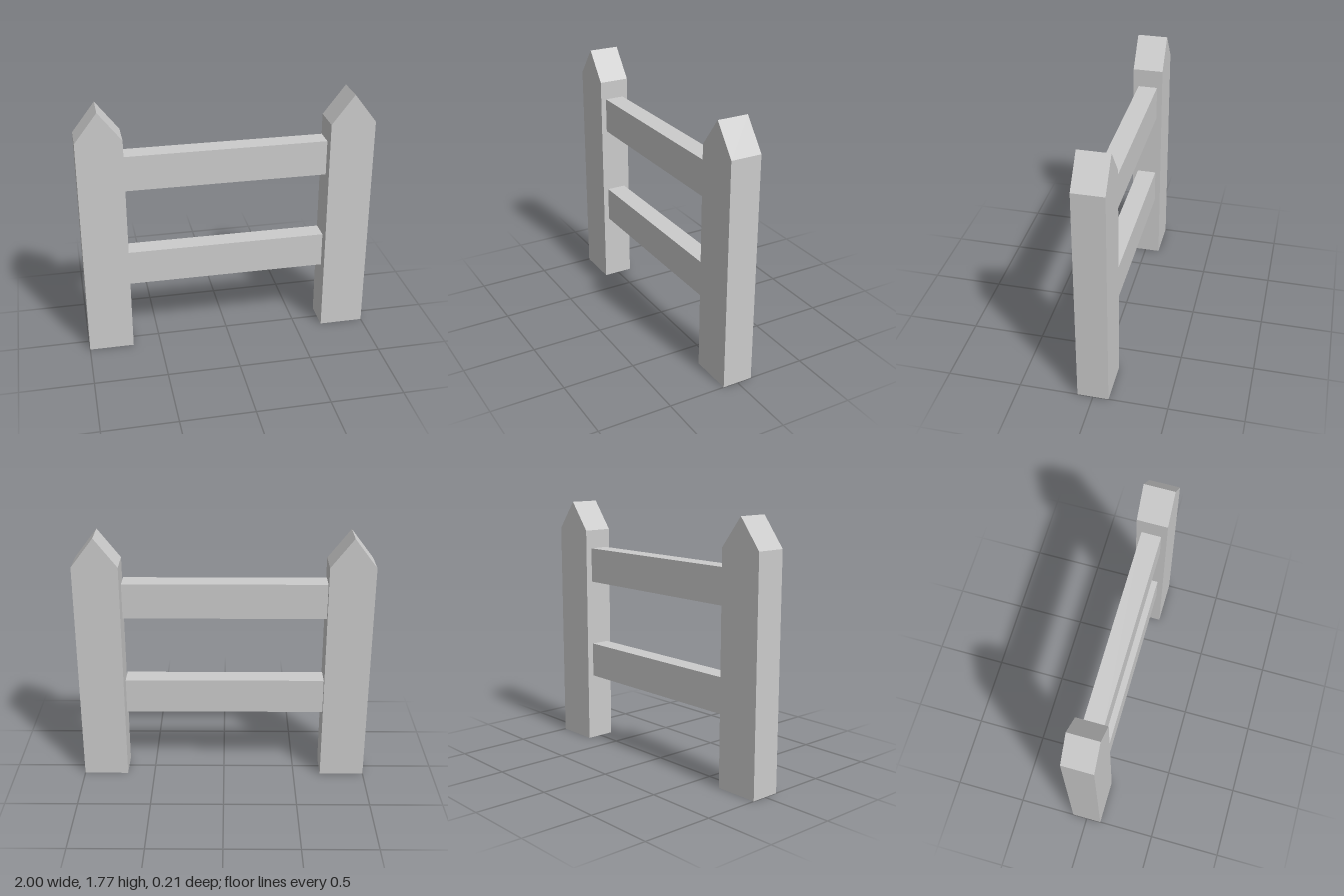
import * as THREE from 'three';

export function createModel() {
  const group = new THREE.Group();
  group.name = 'fence';
  const material = new THREE.MeshStandardMaterial({ color: 0xcccccc, flatShading: true });

  // Posts: flat boards with a pointed top
  const halfWidth = 0.154, depth = 0.21, shoulder = 1.57, peak = 1.77;
  const outline = new THREE.Shape([
    new THREE.Vector2(-halfWidth, 0),
    new THREE.Vector2(halfWidth, 0),
    new THREE.Vector2(halfWidth, shoulder),
    new THREE.Vector2(0, peak),
    new THREE.Vector2(-halfWidth, shoulder),
  ]);
  const postGeometry = new THREE.ExtrudeGeometry(outline, { depth, bevelEnabled: false });
  postGeometry.translate(0, 0, -depth / 2);
  for (const [name, side] of [['leftPost', 1], ['rightPost', -1]]) {
    const post = new THREE.Mesh(postGeometry, material);
    post.name = name;
    post.position.x = side * (1 - halfWidth);
    group.add(post);
  }

  // Rails: butt against the right post and stop just short of the left one
  const railStart = -0.692, railEnd = 0.681;
  const railGeometry = new THREE.BoxGeometry(railEnd - railStart, 0.245, 0.135);
  for (const [name, y] of [['lowerRail', 0.608], ['upperRail', 1.318]]) {
    const rail = new THREE.Mesh(railGeometry, material);
    rail.name = name;
    rail.position.set((railStart + railEnd) / 2, y, 0);
    group.add(rail);
  }

  return group;
}
